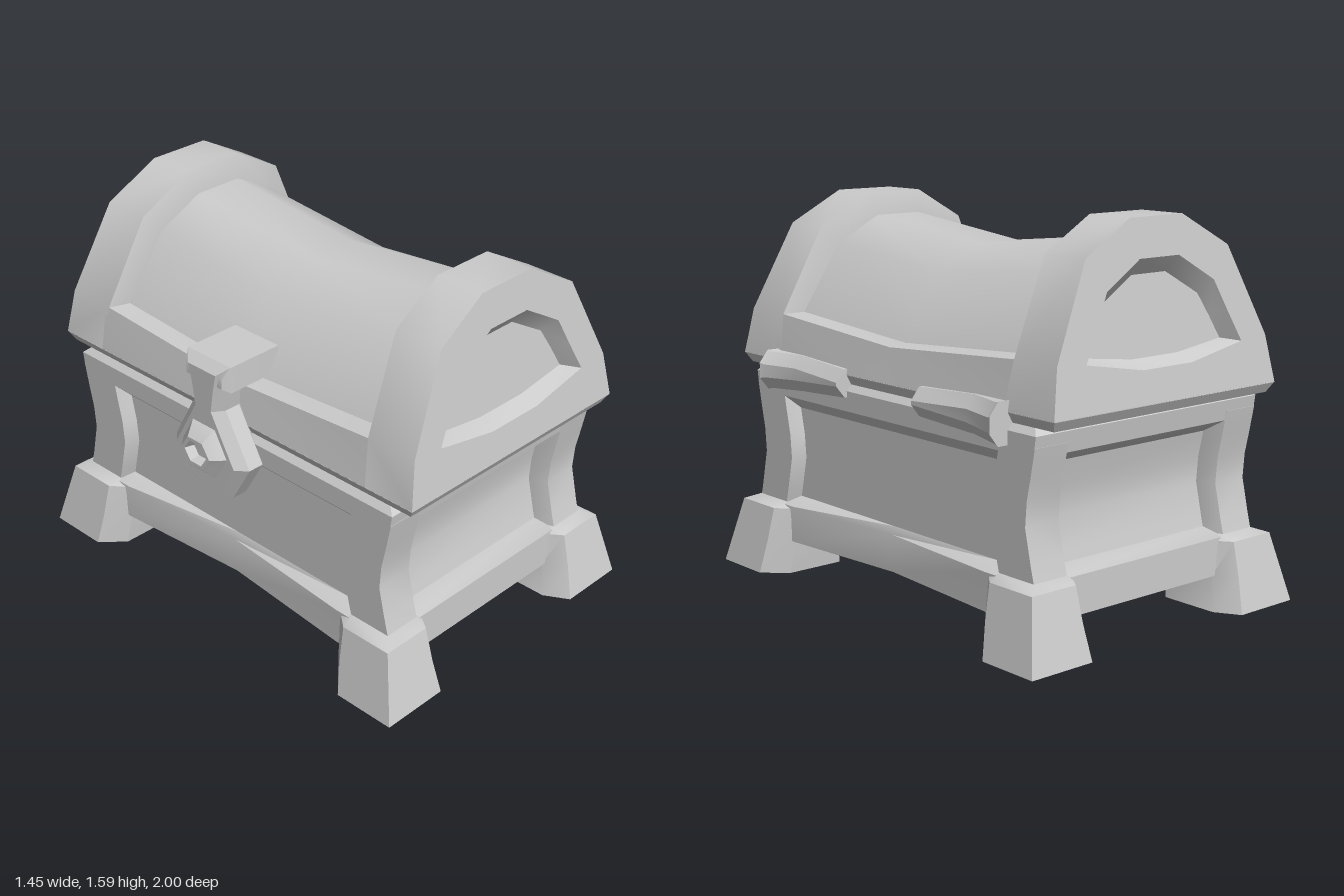
import * as THREE from 'three';
import { toCreasedNormals } from 'three/addons/utils/BufferGeometryUtils.js';

const CX = 0.018; // the chest sits slightly off centre because of the latch
const material = new THREE.MeshStandardMaterial({ color: 0xcccccc });

// Closed solid through rings of equal point count, turned outward by its signed volume
function loft(rings) {
  const n = rings[0].length;
  const tris = [];
  for (let i = 0; i < rings.length - 1; i++) {
    for (let j = 0; j < n; j++) {
      const k = (j + 1) % n;
      const [a, b, c, d] = [rings[i][j], rings[i][k], rings[i + 1][k], rings[i + 1][j]];
      tris.push([a, b, c], [a, c, d]);
    }
  }
  const cap = (ring, end) => {
    const mid = [0, 1, 2].map(q => ring.reduce((s, p) => s + p[q], 0) / n);
    ring.forEach((p, j) => {
      const next = ring[(j + 1) % n];
      tris.push(end ? [mid, p, next] : [mid, next, p]);
    });
  };
  cap(rings[0], false);
  cap(rings[rings.length - 1], true);
  let volume = 0;
  for (const [a, b, c] of tris) {
    volume += a[0] * (b[1] * c[2] - b[2] * c[1]) + a[1] * (b[2] * c[0] - b[0] * c[2]) + a[2] * (b[0] * c[1] - b[1] * c[0]);
  }
  if (volume < 0) tris.forEach(t => t.reverse());
  const geometry = new THREE.BufferGeometry();
  geometry.setAttribute('position', new THREE.Float32BufferAttribute(tris.flat(2), 3));
  return toCreasedNormals(geometry, 0.62);
}

function add(parent, name, geometry, x = CX) {
  const mesh = new THREE.Mesh(geometry, material);
  mesh.name = name;
  mesh.position.x = x;
  parent.add(mesh);
}

const rect = (y, hx, hz) => [[hx, y, hz], [hx, y, -hz], [-hx, y, -hz], [-hx, y, hz]];
const mirrored = half => [...half, ...half.map(([x, y]) => [-x, y]).reverse()];

// Rows of [y, outer z] for the waisted corner posts and end panels
const waist = [[0.29, 0.88], [0.36, 0.862], [0.5, 0.83], [0.6, 0.838], [0.7, 0.86], [0.8, 0.88]];

function addCorner(parent, sx, sz) {
  const ring = (y, pts) => pts.map(([x, z]) => [x * sx, y, z * sz]);
  add(parent, 'foot', loft([
    ring(0, [[0.705, 1], [0.705, 0.73], [0.61, 0.64], [0.352, 0.64], [0.352, 0.9], [0.41, 1]]),
    ring(0.14, [[0.675, 0.965], [0.675, 0.71], [0.59, 0.625], [0.372, 0.625], [0.372, 0.87], [0.425, 0.965]]),
    ring(0.28, [[0.645, 0.93], [0.645, 0.7], [0.58, 0.62], [0.372, 0.62], [0.372, 0.85], [0.43, 0.93]]),
    ring(0.302, [[0.588, 0.88], [0.588, 0.69], [0.54, 0.65], [0.395, 0.65], [0.395, 0.81], [0.425, 0.88]]),
  ]));
  add(parent, 'cornerPost', loft(waist.map(([y, o]) => ring(y, [
    [0.588, o], [0.588, o - 0.19], [0.535, o - 0.22], [0.395, o - 0.22], [0.395, o - 0.075], [0.425, o],
  ]))));
}

function addBody(parent) {
  for (const sx of [-1, 1]) for (const sz of [-1, 1]) addCorner(parent, sx, sz);

  // Recessed panels on all four sides
  add(parent, 'panels', loft(waist.map(([y, o]) => rect(y, 0.535, o - 0.075))));

  // Skirt with long sides bent in at the middle and a sloping ledge on top
  const skirtRing = (y, hx, hz, bend) => [
    [hx, y, hz], [hx, y, 0.62], [hx - bend, y, 0], [hx, y, -0.62], [hx, y, -hz],
    [-hx, y, -hz], [-hx, y, -0.62], [bend - hx, y, 0], [-hx, y, 0.62], [-hx, y, hz],
  ];
  add(parent, 'skirt', loft([
    skirtRing(0.14, 0.6, 0.88, 0.05),
    skirtRing(0.293, 0.6, 0.88, 0.05),
    skirtRing(0.325, 0.535, 0.79, 0),
  ]));

  // Rail round the top, beveled down to the panels
  add(parent, 'topRail', loft([
    rect(0.71, 0.535, 0.785), rect(0.762, 0.588, 0.872),
    rect(0.845, 0.588, 0.885), rect(0.875, 0.56, 0.85),
  ]));
}

function addLid(parent) {
  add(parent, 'lidLip', loft([rect(0.87, 0.565, 0.955), rect(0.912, 0.588, 0.98)]));

  // Sagging barrel between the end arches, with a flat rim along each side
  const barrel = mirrored([[0.2, 0.91], [0.588, 0.91], [0.553, 1.1], [0.475, 1.11], [0.31, 1.395], [0.11, 1.505]]);
  const sag = y => (y < 1 ? 0 : 0.05 + 0.075 * (y - 1.1));
  add(parent, 'lidBarrel', loft([-0.75, 0, 0.75].map(z =>
    barrel.map(([x, y]) => [x, z ? y : y - sag(y), z]))));

  // End arches: sloped outer face with an arched recess
  const arch = mirrored([[0.2, 0.91], [0.588, 0.91], [0.553, 1.1], [0.375, 1.46], [0.138, 1.59]]);
  const bevel = mirrored([[0.2, 0.91], [0.588, 0.91], [0.475, 1.11], [0.31, 1.395], [0.11, 1.5]]);
  const recess = mirrored([[0.13, 1.04], [0.412, 1.09], [0.345, 1.215], [0.283, 1.335], [0.103, 1.44]]);
  const recessBack = mirrored([[0.12, 1.07], [0.36, 1.1], [0.31, 1.19], [0.255, 1.28], [0.09, 1.375]]);
  const inner = y => 0.73 - (y - 1.1) * 0.1;
  const outer = y => 0.98 - (y - 0.91) * 0.132;
  for (const s of [-1, 1]) {
    const ring = (pts, z) => pts.map(([x, y]) => [x, y, s * z(y)]);
    add(parent, 'lidArch', loft([
      ring(bevel, y => inner(y) - 0.04),
      ring(arch, inner),
      ring(arch, outer),
      ring(recess, outer),
      ring(recessBack, y => outer(y) - 0.065),
    ]));
  }
}

function addHinges(parent) {
  // Rows of [z, outer x, bottom y, top y]
  const rows = [[0.735, 0.692, 0.79, 0.955], [0.715, 0.685, 0.795, 0.95], [0.55, 0.645, 0.8, 0.95], [0.24, 0.657, 0.82, 0.935]];
  for (const s of [-1, 1]) {
    add(parent, 'hinge', loft(rows.map(([z, x, lo, hi]) => [
      [0.57, lo, s * z], [x - 0.04, lo, s * z], [x, lo + 0.05, s * z],
      [x, hi - 0.05, s * z], [x - 0.04, hi, s * z], [0.57, hi, s * z],
    ])), 0);
  }
}

function addLatch(parent) {
  const latch = new THREE.Group();
  latch.name = 'latch';
  parent.add(latch);

  // Strap with a waist, widening into the lock plate
  const outline = mirrored([[0.11, 0.6], [0.21, 0.77], [0.085, 0.99], [0.1, 1.08], [0.12, 1.19]]);
  const strap = new THREE.ExtrudeGeometry(new THREE.Shape(outline.map(p => new THREE.Vector2(...p))), {
    depth: 0.07, bevelThickness: 0.04, bevelSize: 0.04, bevelOffset: -0.04, bevelSegments: 1,
  });
  strap.translate(0, 0, 0.57).rotateY(-Math.PI / 2);
  add(latch, 'latchStrap', toCreasedNormals(strap, 0.3), 0);

  // Arm reaching back into the lid
  const armRing = (x, lo, hi, w) => [[x, lo, w], [x, hi, w], [x, hi, -w], [x, lo, -w]];
  add(latch, 'latchArm', loft([
    armRing(-0.67, 1.1, 1.145, 0.1), armRing(-0.64, 1.08, 1.19, 0.12), armRing(-0.39, 1.08, 1.19, 0.12),
  ]), 0);

  // Six-sided boss with a sunken keyhole
  const hexRing = (x, w, h) => [[0.5, 1], [1, 0], [0.5, -1], [-0.5, -1], [-1, 0], [-0.5, 1]]
    .map(([z, y]) => [x, 0.8 + y * h, z * w]);
  add(latch, 'lockBoss', loft([
    hexRing(-0.66, 0.13, 0.115), hexRing(-0.68, 0.125, 0.11), hexRing(-0.73, 0.08, 0.06),
    hexRing(-0.73, 0.062, 0.046), hexRing(-0.69, 0.05, 0.036),
  ]), 0);
}

export function createModel() {
  const chest = new THREE.Group();
  chest.name = 'chest';
  for (const [name, build] of [['body', addBody], ['lid', addLid], ['hinges', addHinges]]) {
    const group = new THREE.Group();
    group.name = name;
    build(group);
    chest.add(group);
  }
  addLatch(chest);
  return chest;
}
